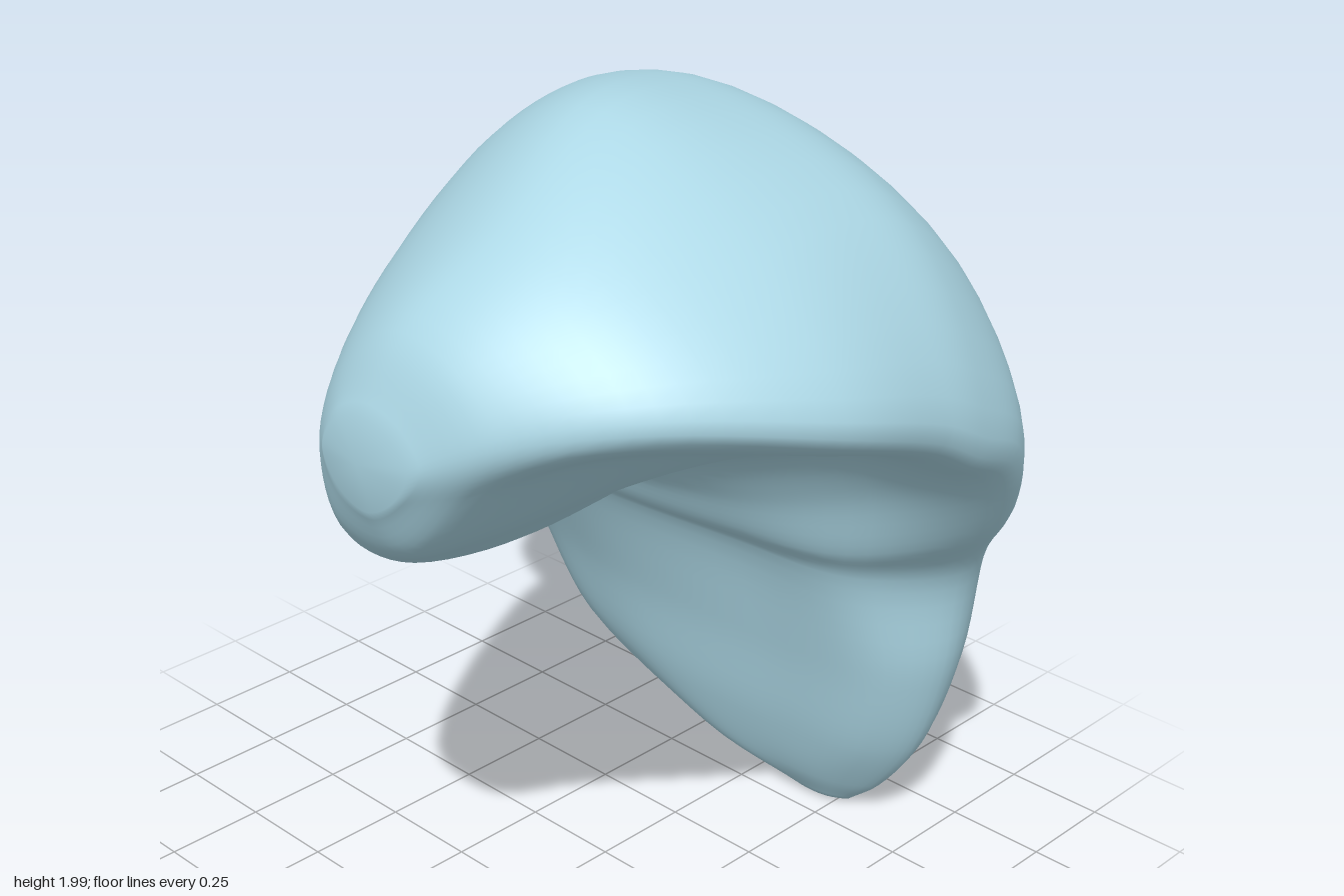
import * as THREE from 'three';

// One cross-section: pairs (z, r), r measured from (ox, oy) along an angle in the xy plane.
// Order: outer middle, outer front, front rim, inner front, inner middle, inner back, back rim, outer back.
function section(ox, oy, degrees, pairs) {
  const a = THREE.MathUtils.degToRad(degrees);
  const pts = [];
  for (let i = 0; i < pairs.length; i += 2) {
    const z = pairs[i], r = pairs[i + 1];
    pts.push(new THREE.Vector3(ox + r * Math.cos(a), oy + r * Math.sin(a), z));
  }
  return new THREE.CatmullRomCurve3(pts, true, 'centripetal');
}

// Smooth closed skin through a row of sections, with a pole at each end
function loft(sections, around, along) {
  const rails = [];
  for (let k = 0; k < around; k++) {
    rails.push(new THREE.CatmullRomCurve3(sections.map(s => s.getPoint(k / around)), false, 'centripetal'));
  }
  const pos = [], index = [];
  for (let j = 0; j <= along; j++) {
    for (const rail of rails) pos.push(...rail.getPoint(j / along).toArray());
  }
  for (let j = 0; j < along; j++) {
    for (let k = 0; k < around; k++) {
      const a = j * around + k, b = j * around + (k + 1) % around;
      index.push(a, b, a + around, b, b + around, a + around);
    }
  }
  // end poles
  for (const [row, flip] of [[0, true], [along, false]]) {
    const c = new THREE.Vector3();
    for (const rail of rails) c.addScaledVector(rail.getPoint(row / along), 1 / around);
    const pole = pos.length / 3;
    c.x += flip ? -0.015 : 0;
    c.y += flip ? 0 : -0.01;
    pos.push(c.x, c.y, c.z);
    for (let k = 0; k < around; k++) {
      const a = row * around + k, b = row * around + (k + 1) % around;
      if (flip) index.push(pole, b, a);
      else index.push(pole, a, b);
    }
  }
  const geo = new THREE.BufferGeometry();
  geo.setAttribute('position', new THREE.Float32BufferAttribute(pos, 3));
  geo.setIndex(index);
  geo.computeVertexNormals();
  return geo;
}

export function createModel() {
  const group = new THREE.Group();
  group.name = 'curvedOrgan';

  // Short lobe: upright sections from its tip towards the middle
  const shortLobe = [
    section(-0.86, 0, 90, [.2, 1.5, .28, 1.48, .33, 1.42, .28, 1.34, .2, 1.3, .12, 1.33, .08, 1.4, .12, 1.47]),
    section(-0.78, 0, 90, [.22, 1.66, .4, 1.62, .5, 1.5, .4, 1.36, .22, 1.18, .02, 1.18, -.03, 1.35, .05, 1.55]),
    section(-0.58, 0, 90, [.25, 1.82, .55, 1.73, .73, 1.54, .5, 1.4, .22, 1.14, -.06, 1.01, -.18, 1.22, -.08, 1.62]),
    section(-0.25, 0, 90, [.18, 1.98, .65, 1.78, .9, 1.48, .6, 1.35, .24, 1.14, -.1, .93, -.35, 1.2, -.22, 1.72]),
    section(0.04, 0, 90, [.1, 1.97, .65, 1.78, .91, 1.38, .6, 1.27, .22, 1.12, -.15, .95, -.46, 1.2, -.3, 1.78]),
  ];

  // Bend: sections fanning round to the long lobe
  const bend = [
    section(0.1, 0.85, 80, [.05, 1.06, .65, .88, .9, .46, .57, .36, .14, .2, -.38, .12, -.73, .55, -.52, .84]),
    section(0.15, 0.85, 60, [0, .9, .6, .75, .86, .42, .55, .25, .14, .12, -.42, .12, -.84, .42, -.56, .74]),
    section(0.2, 0.8, 30, [-.05, .68, .53, .61, .74, .38, .5, .16, .12, .08, -.5, .08, -.9, .25, -.65, .56]),
  ];

  // Long lobe: level sections down to the lower tip
  const longLobe = [
    section(0, 0.78, 0, [-.1, .87, .44, .82, .6, .6, .44, .38, .1, .33, -.5, .31, -.9, .48, -.6, .78]),
    section(0, 0.5, 0, [-.1, .87, .42, .8, .56, .6, .45, .45, .1, .41, -.45, .42, -.8, .55, -.55, .76]),
    section(0, 0.25, 0, [-.05, .81, .34, .76, .48, .6, .38, .49, .1, .46, -.35, .47, -.63, .57, -.42, .71]),
    section(0, 0.09, 0, [.05, .72, .25, .69, .37, .6, .28, .53, .08, .51, -.15, .52, -.28, .6, -.15, .69]),
    section(0, 0.01, 0, [.18, .64, .24, .63, .28, .6, .24, .57, .18, .56, .11, .57, .06, .6, .11, .63]),
  ];

  const body = new THREE.Mesh(
    loft([...shortLobe, ...bend, ...longLobe], 56, 72),
    new THREE.MeshStandardMaterial({ color: 0xadd8e6 })
  );
  body.name = 'lobedBody';
  group.add(body);
  return group;
}
